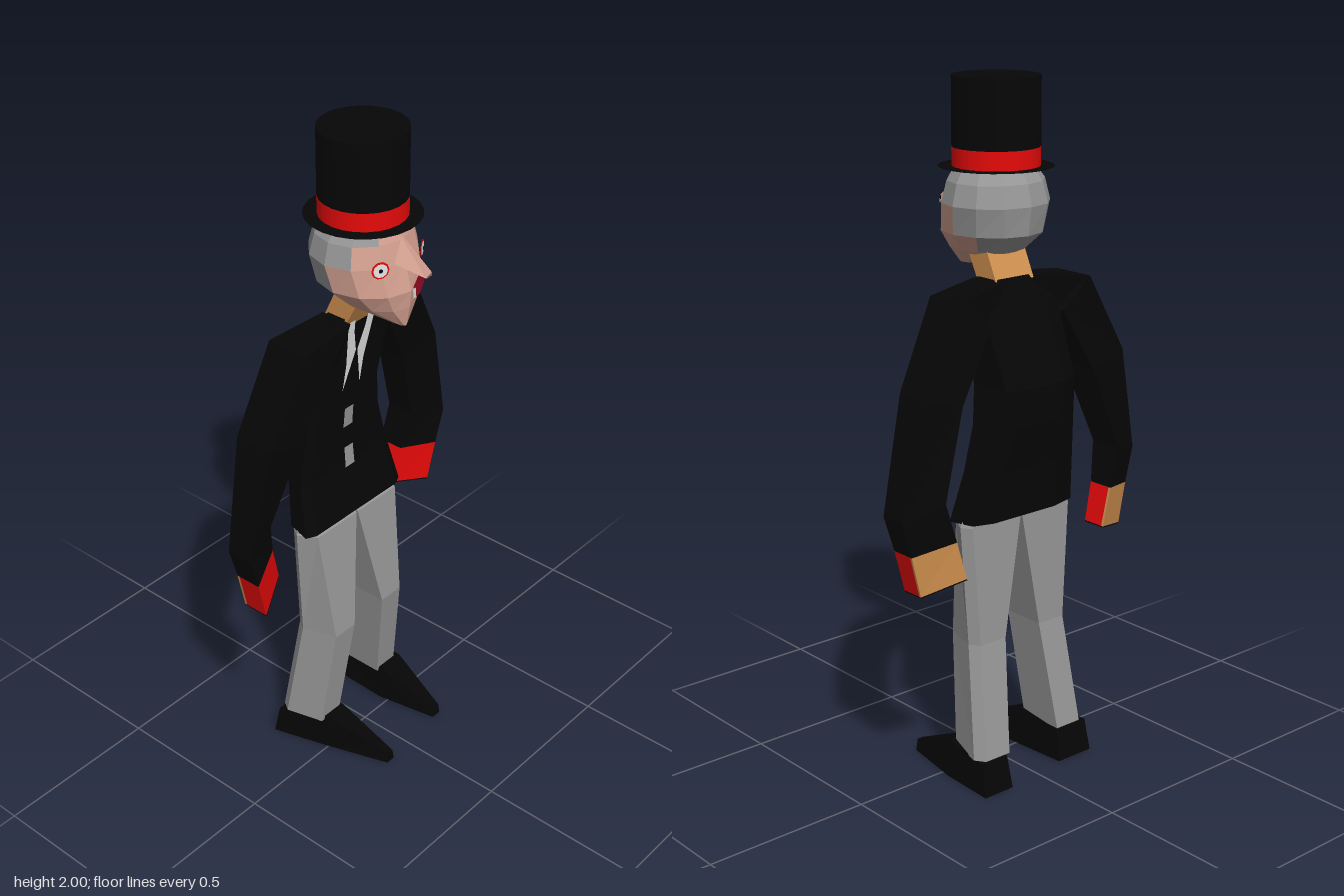
import * as THREE from 'three';

const mat = (name, color, side = THREE.FrontSide) => {
  const m = new THREE.MeshStandardMaterial({ color, side });
  m.name = name;
  return m;
};

// Closed, faceted skin over rings of [x, y, z] points, always facing outward.
function loft(rings) {
  const tris = [];
  const n = rings[0].length;
  for (let r = 0; r + 1 < rings.length; r++) {
    for (let i = 0; i < n; i++) {
      const j = (i + 1) % n;
      const a = rings[r][i], b = rings[r][j], c = rings[r + 1][j], d = rings[r + 1][i];
      tris.push([a, b, c], [a, c, d]);
    }
  }
  const first = rings[0], last = rings[rings.length - 1];
  for (let i = 1; i + 1 < n; i++) {
    tris.push([first[0], first[i + 1], first[i]], [last[0], last[i], last[i + 1]]);
  }
  let volume = 0;
  const o = new THREE.Vector3(...first[0]);
  for (const t of tris) {
    const [a, b, c] = t.map((p) => new THREE.Vector3(...p).sub(o));
    volume += a.dot(b.cross(c));
  }
  return volume < 0 ? tris.map(([a, b, c]) => [a, c, b]) : tris;
}

function toGeometry(tris) {
  const g = new THREE.BufferGeometry();
  g.setAttribute('position', new THREE.Float32BufferAttribute(tris.flat(2), 3));
  g.computeVertexNormals();
  return g;
}

export function createModel() {
  const black = mat('black cloth', 0x060606, THREE.DoubleSide);
  const red = mat('red', 0xf50b0b);
  const gray = mat('gray', 0x979797);
  const white = mat('white', 0xeeeeee);
  const tan = mat('tan', 0xd0904f);
  const skin = mat('skin', 0xd3a090);
  const crimson = mat('crimson', 0x980a24);

  const model = new THREE.Group();
  const add = (name, geometry, material, parent = model) => {
    const m = new THREE.Mesh(geometry, material);
    m.name = name;
    parent.add(m);
    return m;
  };
  const addLoft = (name, rings, material) => add(name, toGeometry(loft(rings)), material);
  // Two colours on one skin, chosen by the centre of each facet.
  const addSplit = (names, rings, mats, test) => {
    const tris = loft(rings);
    const hit = (t) => test(...[0, 1, 2].map((k) => (t[0][k] + t[1][k] + t[2][k]) / 3));
    add(names[0], toGeometry(tris.filter(hit)), mats[0]);
    add(names[1], toGeometry(tris.filter((t) => !hit(t))), mats[1]);
  };

  // Top hat with a paper-thin brim
  const hatX = -0.006;
  const cyl = (name, y0, y1, m) =>
    add(name, new THREE.CylinderGeometry(0.122, 0.122, y1 - y0, 24), m).position.set(hatX, (y0 + y1) / 2, 0);
  cyl('hatCrown', 1.81, 2, black);
  cyl('hatBand', 1.758, 1.81, red);
  const brim = add('hatBrim', new THREE.CircleGeometry(0.16, 24), black);
  brim.rotation.x = -Math.PI / 2;
  brim.position.set(hatX, 1.757, 0);

  // Head: hair behind, face in front
  const headRing = ([y, xb, xf, w]) => Array.from({ length: 12 }, (_, i) => {
    const a = (i * Math.PI) / 6;
    return [(xb + xf) / 2 + ((xf - xb) / 2) * Math.cos(a), y, w * Math.sin(a)];
  });
  const headRings = [
    [1.756, -0.11, 0.11, 0.115], [1.72, -0.135, 0.125, 0.14], [1.66, -0.15, 0.14, 0.155],
    [1.58, -0.138, 0.16, 0.14], [1.53, -0.085, 0.155, 0.095], [1.472, 0.1, 0.145, 0.012],
  ].map(headRing);
  addSplit(['face', 'hair'], headRings, [skin, gray],
    (x, y) => x > (y > 1.6 ? -0.02 + (y - 1.6) * 0.85 : -0.02));

  // Pointed nose
  addLoft('nose', [
    [[0.1, 1.752, 0], [0.115, 1.67, 0.042], [0.125, 1.668, 0], [0.115, 1.67, -0.042]],
    [[0.215, 1.65, -0.015], [0.206, 1.632, -0.003], [0.2, 1.626, -0.015], [0.206, 1.632, -0.027]],
  ], skin);

  // Eyes, as stacked thin discs
  for (const s of [1, -1]) {
    const eye = new THREE.Group();
    eye.name = s > 0 ? 'rightEye' : 'leftEye';
    eye.position.set(0.125, 1.662, s * 0.084);
    eye.rotation.y = Math.PI / 2 - s * 0.51;
    [['eyeRim', 0.025, red], ['eyeWhite', 0.02, white], ['pupil', 0.006, black]].forEach(([n, r, m], i) => {
      add(n, new THREE.CircleGeometry(r, 10), m, eye).position.z = i * 0.002;
    });
    model.add(eye);
  }

  // Flat painted shape in the xy plane, from points [-x, y]
  const flat = (pts) => new THREE.ShapeGeometry(new THREE.Shape(pts.map(([z, y]) => new THREE.Vector2(-z, y))));

  // Crooked mouth with one tooth
  const mouth = new THREE.Group();
  mouth.name = 'mouth';
  mouth.position.set(0.155, 1.582, -0.038);
  mouth.rotation.y = Math.PI / 2 + 0.28;
  model.add(mouth);
  add('lips', flat([[0.036, 0.012], [0.005, 0.03], [-0.016, 0.016], [-0.04, 0.02], [-0.034, -0.008],
    [-0.005, -0.03], [0.03, -0.022]]), crimson, mouth);
  add('tooth', flat([[0.048, 0.01], [0.028, 0.008], [0.03, -0.022], [0.046, -0.018]]), white, mouth)
    .position.z = 0.004;

  // Neck
  const quad = (y0, y1, xb, xf, w) => [[xb, y0, w], [xf, y1, w], [xf, y1, -w], [xb, y0, -w]];
  addLoft('neck', [quad(1.45, 1.43, -0.085, -0.016, 0.068), quad(1.55, 1.53, -0.038, 0.035, 0.068)], tan);

  // Coat body: rounded back and hollow front; rows are y, back x, front x, half width
  const rows = [
    [1.46, -0.085, -0.012, 0.09], [1.38, -0.13, -0.027, 0.15], [1.18, -0.213, -0.06, 0.14],
    [1.07, -0.195, -0.072, 0.155], [0.94, -0.165, -0.066, 0.183], [0.79, -0.14, -0.03, 0.205],
  ];
  addLoft('coatBody', rows.map(([y, xb, xf, w]) => {
    const xm = xf - 0.015;
    return [[xf, y, 0.85 * w], [xm, y, w], [xb + 0.02, y, 0.9 * w], [xb, y, 0.5 * w],
      [xb, y, -0.6 * w], [xb + 0.02, y, -0.9 * w], [xm, y, -w], [xf, y, -0.85 * w]];
  }), black);

  // Shirt front either side of the tie, and coat buttons, laid on the coat front
  const frontX = (y) => {
    const i = Math.max(1, rows.findIndex((r) => r[0] <= y));
    const [y0, , x0] = rows[i - 1], [y1, , x1] = rows[i];
    return x0 + ((x1 - x0) * (y - y0)) / (y1 - y0);
  };
  const onCoat = (name, pts, m) => {
    const g = flat(pts);
    const p = g.attributes.position;
    for (let i = 0; i < p.count; i++) p.setXYZ(i, frontX(p.getY(i)) + 0.005, p.getY(i), -p.getX(i));
    g.computeVertexNormals();
    add(name, g, m);
  };
  for (const s of [1, -1]) {
    onCoat('shirtPanel', [[0.056, 1.455], [0.028, 1.455], [0.022, 1.4], [0.003, 1.33],
      [0.036, 1.2], [0.036, 1.29]].map(([z, y]) => [s * z, y]), white);
  }
  for (const y of [1.097, 0.965]) {
    onCoat('button', [[0.016, y + 0.033], [-0.02, y + 0.033], [-0.022, y - 0.033], [0.016, y - 0.033]], gray);
  }

  // Arms: edges hold outer [z, y] then inner [z, y];
  // xs hold inner back, inner front, outer back, outer front
  const mix = (p, q, t) => p.map((v, k) => v + (q[k] - v) * t);
  const edges = [
    [0.07, 1.455, 0.09, 1.33], [0.25, 1.435, 0.15, 1.35], [0.39, 1.2, 0.265, 1.16],
    [0.473, 0.88, 0.35, 0.915], [0.44, 0.775, 0.315, 0.8], [0.41, 0.652, 0.283, 0.685],
  ];
  const arms = [
    { s: 1, name: 'right', xs: [
      [-0.09, -0.02, -0.09, 0.01], [-0.12, 0.01, -0.12, 0.016], [-0.125, 0, -0.115, 0.01],
      [-0.145, -0.04, -0.083, -0.004], [-0.152, -0.07, -0.088, -0.007], [-0.155, -0.08, -0.092, -0.01]] },
    { s: -1, name: 'left', xs: [
      [-0.11, -0.025, -0.11, 0.005], [-0.155, -0.04, -0.155, -0.025], [-0.175, -0.08, -0.182, -0.066],
      [-0.205, -0.12, -0.172, -0.093], [-0.208, -0.13, -0.17, -0.095], [-0.212, -0.138, -0.17, -0.1]] },
  ];
  for (const { s, name, xs } of arms) {
    const ring = (i, a = 0, b = 1) => {
      const [zo, yo, zi, yi] = edges[i];
      const [ib, jf, ob, of] = xs[i];
      const inner = (t) => [ib + (jf - ib) * t, yi, s * zi];
      const outer = (t) => [ob + (of - ob) * t, yo, s * zo];
      return [outer(a), outer(b), inner(b), inner(a)];
    };
    addLoft(name + 'Sleeve', [0, 1, 2, 3, 4].map((i) => ring(i)), black);
    // Hand: red glove, bare back, dark underside
    const part = (label, a, b, t0, t1, m) => {
      const p = ring(4, a, b), q = ring(5, a, b);
      addLoft(name + label, [t0, t1].map((t) => p.map((v, k) => mix(v, q[k], t))), m);
    };
    part('Glove', 0.1, 1, 0, 0.97, red);
    part('HandBack', 0, 0.1, 0, 0.97, tan);
    part('HandUnderside', 0, 1, 0.97, 1, black);
  }

  // Legs and shoes
  const feet = [
    // x, inner z, outer z, top y
    { s: 1, name: 'right', dx: 0, shoe: [[-0.175, 0.1, 0.225, 0.095], [-0.01, 0.088, 0.175, 0.115], [0.185, 0.08, 0.11, 0.035]] },
    { s: -1, name: 'left', dx: -0.025, shoe: [[-0.205, 0.11, 0.213, 0.095], [-0.03, 0.105, 0.205, 0.115], [0.16, 0.14, 0.172, 0.035]] },
  ];
  for (const { s, name, dx, shoe } of feet) {
    const leg = [
      [0.83, -0.115, -0.06, 0.003, 0.18, 0], [0.78, -0.115, -0.03, 0.003, 0.2, 0],
      [0.43, -0.115, 0.02, 0.07, 0.183, dx / 2], [0.1, -0.16, -0.015, 0.105, 0.213, dx],
    ].map(([y, xb, xf, zi, zo, d]) => [
      [xb + d, y, s * zi], [xf + d, y, s * zi], [xf + d, y, s * (zo - 0.03)], [xb + d + 0.03, y, s * zo], [xb + d, y, s * (zo - 0.02)],
    ]);
    addLoft(name + 'TrouserLeg', leg, gray);
    const rings = shoe.map(([x, zi, zo, h], i) => [
      [x, 0, s * zi], [x, 0, s * zo], [x + (i ? 0 : 0.018), h, s * (zo - 0.006)], [x + (i ? 0 : 0.018), h, s * (zi + 0.006)],
    ]);
    addSplit([name + 'Sole', name + 'Shoe'], rings, [gray, black], (x, y) => y < 0.002);
  }
  return model;
}
